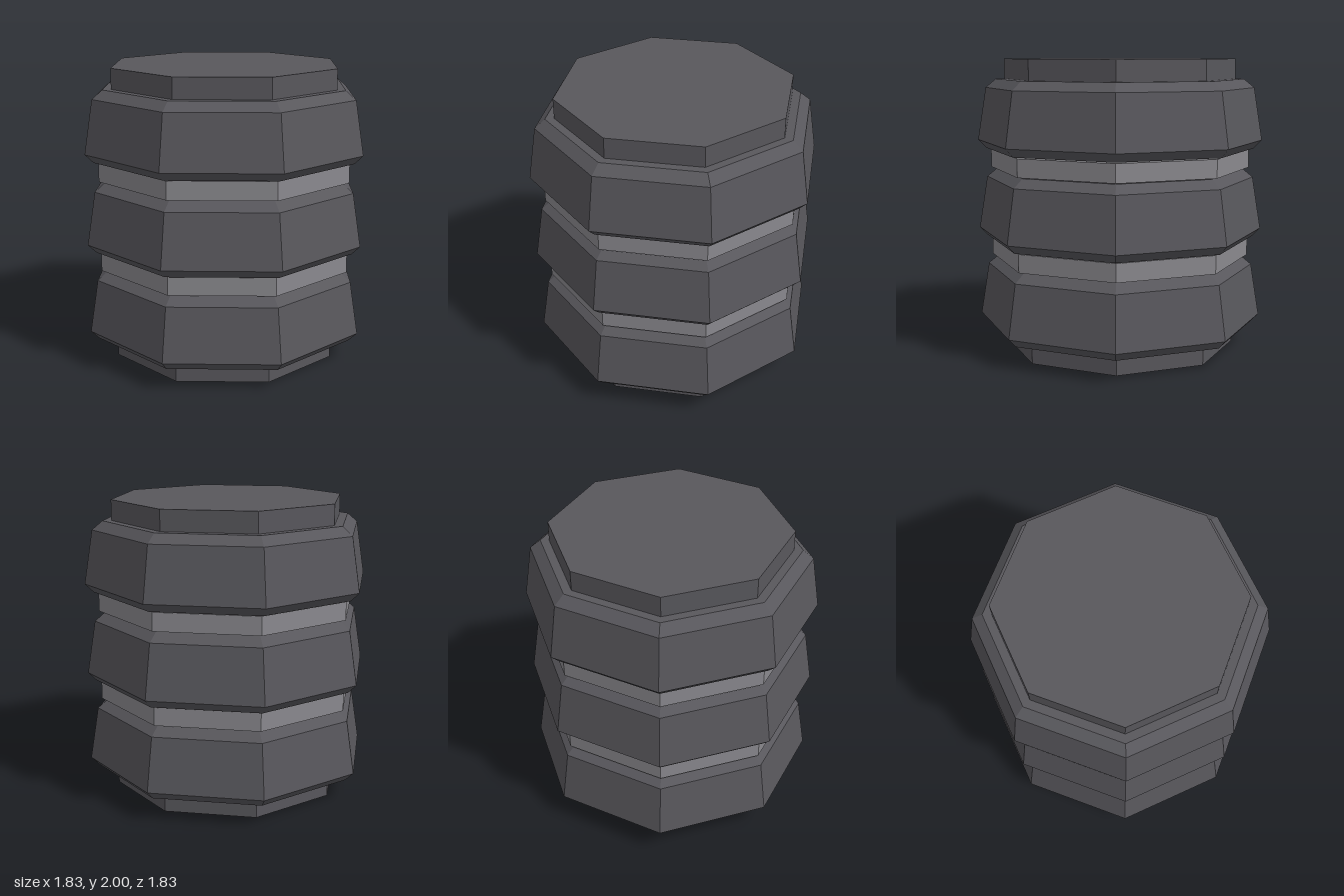
import * as THREE from 'three';

const SIDES = 8;
const TO_CORNER = 1 / Math.cos(Math.PI / SIDES); // flat-to-centre distance -> corner radius

export function createModel() {
  const model = new THREE.Group();
  model.name = 'ribbedDrum';

  const darkMetal = new THREE.MeshStandardMaterial({ color: 0x58575c, flatShading: true });
  darkMetal.name = 'dark grey';
  const lightMetal = new THREE.MeshStandardMaterial({ color: 0x8a898e, flatShading: true });
  lightMetal.name = 'light grey';

  const add = (name, geometry, material, y) => {
    const mesh = new THREE.Mesh(geometry, material);
    mesh.name = name;
    mesh.position.y = y;
    model.add(mesh);
  };

  // Octagonal prism with flats facing the axes
  const prism = (flat, height) =>
    new THREE.CylinderGeometry(flat * TO_CORNER, flat * TO_CORNER, height, SIDES)
      .rotateY(Math.PI / SIDES);

  // Core running the full height
  add('core', prism(0.737, 2), darkMetal, 1);

  // Tapered, bevelled collars
  const profile = [[0.72, 0], [0.86, 0], [0.913, 0.058], [0.858, 0.42], [0.792, 0.479], [0.72, 0.479]]
    .map(([flat, y]) => new THREE.Vector2(flat * TO_CORNER, y));
  const collar = new THREE.LatheGeometry(profile, SIDES, Math.PI / SIDES);
  for (let i = 0; i < 3; i++) add(`collar${i + 1}`, collar, darkMetal, 0.143 + i * 0.62);

  // Lighter rings in the gaps between collars
  const ring = prism(0.83, 0.123);
  for (let i = 0; i < 2; i++) add(`ring${i + 1}`, ring, lightMetal, 0.692 + i * 0.62);

  return model;
}
